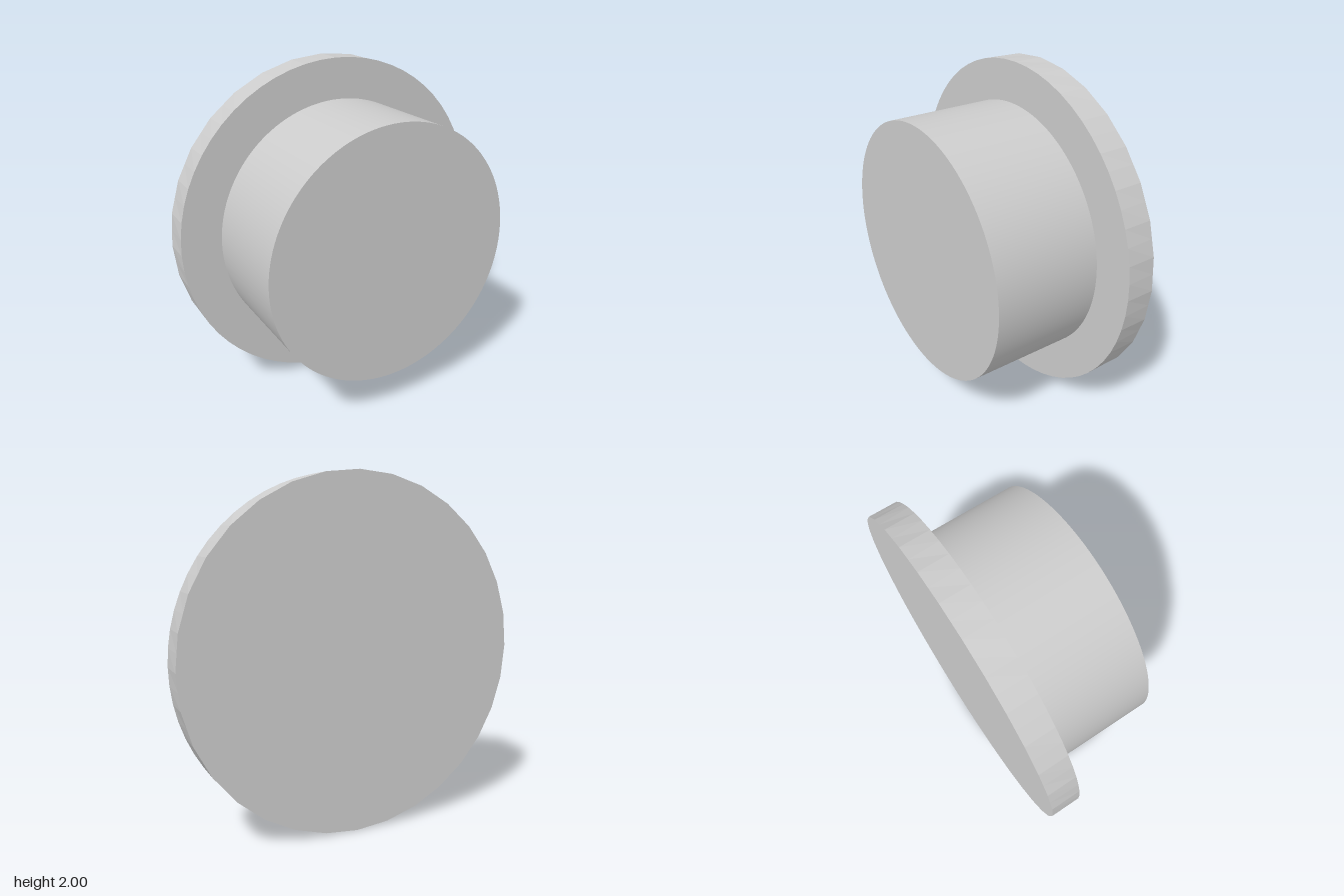
import * as THREE from 'three';

const BACK = -0.404, STEP = -0.232, FRONT = 0.404;

// Solid disc lying along z between two depths
function disc(radius, z0, z1, sides) {
  const g = new THREE.CylinderGeometry(radius, radius, z1 - z0, sides);
  g.rotateX(Math.PI / 2);
  g.translate(0, 0, (z0 + z1) / 2);
  return g;
}

export function createModel() {
  const model = new THREE.Group();
  model.name = 'flangedPlug';

  // Flange: 64-sided front rim, 32-sided back rim (odd back corners sit on the chords)
  const flangeGeo = disc(1, BACK, STEP, 64);
  const p = flangeGeo.attributes.position;
  for (let i = 0; i < p.count; i++) {
    if (p.getZ(i) > (BACK + STEP) / 2) continue;
    const index = Math.round(Math.atan2(p.getY(i), p.getX(i)) / (Math.PI / 32));
    if (index % 2 === 0) continue;
    const k = Math.cos(Math.PI / 32);
    p.setXY(i, p.getX(i) * k, p.getY(i) * k);
  }
  const flange = new THREE.Mesh(flangeGeo,
    new THREE.MeshStandardMaterial({ color: 0xcccccc, flatShading: true }));
  flange.name = 'flange';

  // Plug: smooth round body in front of the flange
  const plug = new THREE.Mesh(disc(0.763, STEP, FRONT, 128),
    new THREE.MeshStandardMaterial({ color: 0xcccccc }));
  plug.name = 'plug';

  flange.position.y = plug.position.y = 1;
  model.add(flange, plug);
  return model;
}
